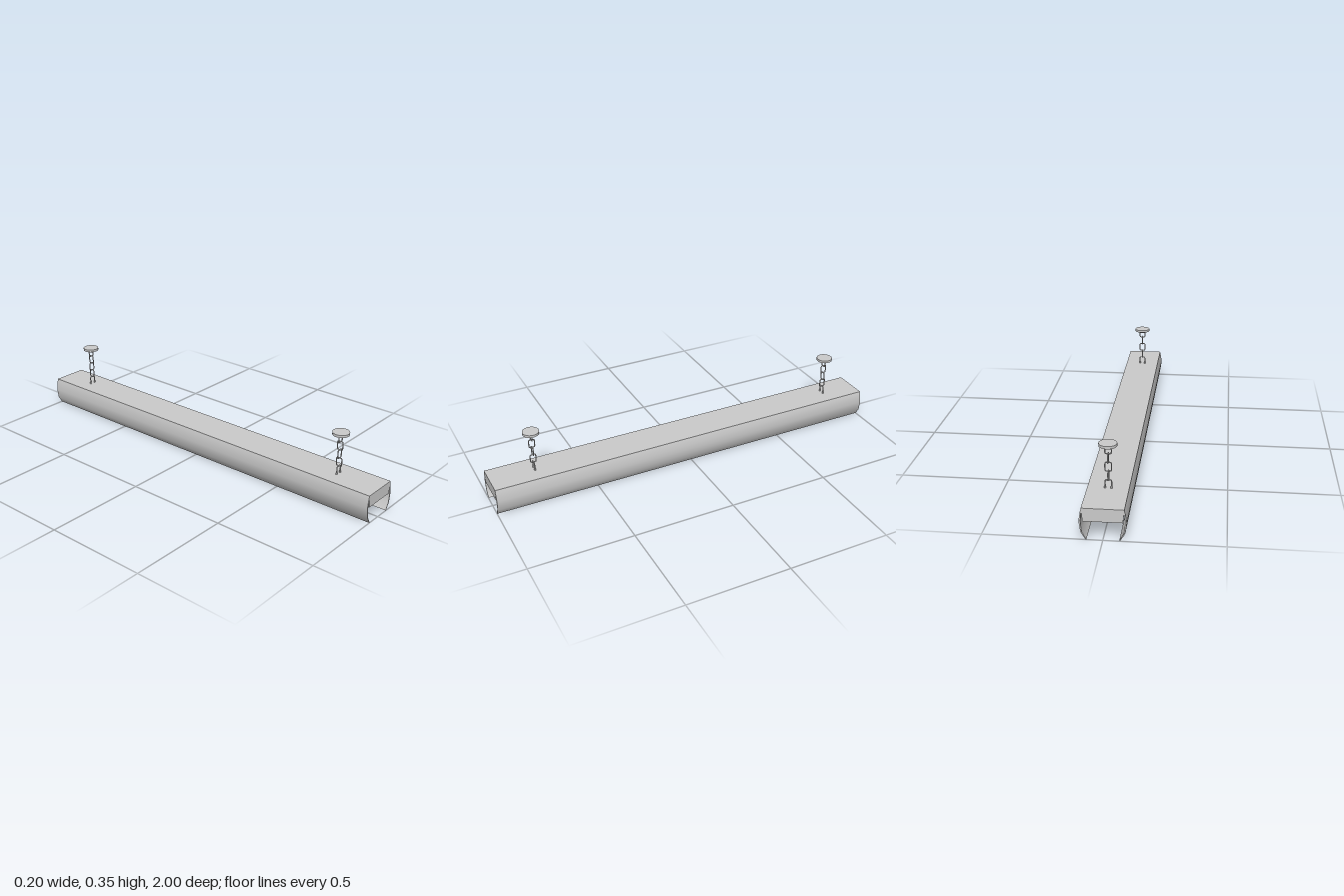
import * as THREE from 'three';
import { toCreasedNormals } from 'three/addons/utils/BufferGeometryUtils.js';

const material = new THREE.MeshStandardMaterial({ color: 0xcccccc, side: THREE.DoubleSide });

function add(parent, name, geometry, x = 0, y = 0, z = 0) {
  const mesh = new THREE.Mesh(geometry, material);
  mesh.name = name;
  mesh.position.set(x, y, z);
  parent.add(mesh);
  return mesh;
}

// Extrude an outline (x, y) along z, centred on z = 0
function extrude(points, length) {
  const shape = new THREE.Shape(points.map(([x, y]) => new THREE.Vector2(x, y)));
  const geometry = new THREE.ExtrudeGeometry(shape, { depth: length, bevelEnabled: false });
  geometry.translate(0, 0, -length / 2);
  return toCreasedNormals(geometry, 0.6);
}

// Wire bent along a rounded rectangle; open wires leave out the top or bottom side
const WIRE = 0.0027;
function wire(halfWidth, bottom, top, open) {
  const r = 0.006;
  const pts = [];
  const corner = (cx, cy, start) => {
    for (let i = 0; i <= 3; i++) {
      const a = start + (i / 3) * Math.PI / 2;
      pts.push(new THREE.Vector3(cx + r * Math.cos(a), cy + r * Math.sin(a), 0));
    }
  };
  const x = halfWidth - r;
  if (open === 'bottom') pts.push(new THREE.Vector3(halfWidth, bottom, 0));
  if (open !== 'top') {
    corner(x, top - r, 0);
    corner(-x, top - r, Math.PI / 2);
  } else pts.push(new THREE.Vector3(-halfWidth, top, 0));
  if (open !== 'bottom') {
    corner(-x, bottom + r, Math.PI);
    corner(x, bottom + r, Math.PI * 1.5);
  } else pts.push(new THREE.Vector3(-halfWidth, bottom, 0));
  if (open === 'top') pts.push(new THREE.Vector3(halfWidth, top, 0));
  const curve = new THREE.CatmullRomCurve3(pts, !open, 'centripetal');
  return new THREE.TubeGeometry(curve, 48, WIRE, 8, !open);
}

function createHanger() {
  const hanger = new THREE.Group();
  hanger.name = 'hanger';

  // Stepped ceiling canopy
  const profile = [[0, 0.329], [0.024, 0.329], [0.031, 0.335], [0.039, 0.336], [0.039, 0.348], [0, 0.348]];
  const canopy = new THREE.LatheGeometry(profile.map(([x, y]) => new THREE.Vector2(x, y)), 32);
  add(hanger, 'canopy', toCreasedNormals(canopy, 0.5));

  // Chain: end loops face the front, closed links alternate
  const x = -0.001;
  add(hanger, 'upperLoop', wire(0.0135, 0.299, 0.332, 'top'), x);
  add(hanger, 'upperLink', wire(0.0135, 0.26, 0.301), x).rotation.y = Math.PI / 2;
  add(hanger, 'middleLink', wire(0.0135, 0.22, 0.26), x);
  add(hanger, 'lowerLink', wire(0.0135, 0.18, 0.22), x).rotation.y = Math.PI / 2;
  add(hanger, 'lowerLoop', wire(0.0135, 0.141, 0.18, 'bottom'), x);
  for (const s of [-1, 1]) {
    add(hanger, 'loopFoot', new THREE.CylinderGeometry(0.0042, 0.0042, 0.01, 12), x + s * 0.0135, 0.146);
  }
  return hanger;
}

export function createModel() {
  const model = new THREE.Group();
  model.name = 'hangingLamp';

  // Housing: top panel and tapered end plates
  add(model, 'topPanel', new THREE.BoxGeometry(0.176, 0.004, 2), 0, 0.14, 0);
  const endOutline = [[-0.088, 0.142], [-0.082, 0.083], [0.082, 0.083], [0.088, 0.142]];
  for (const s of [-1, 1]) add(model, 'endPlate', extrude(endOutline, 0.006), 0, 0, s * 0.997);

  // Curved shades on both sides
  const shade = [
    [0.087, 0.142], [0.091, 0.128], [0.098, 0.084], [0.091, 0.034], [0.07, 0],
    [0.067, 0.001], [0.086, 0.035], [0.091, 0.083], [0.086, 0.134], [0.084, 0.138],
  ];
  for (const s of [-1, 1]) {
    add(model, 'sideShade', extrude(shade.map(([x, y]) => [x * s, y]), 2));
  }

  // Two light tubes between sockets inside the housing
  for (const s of [-1, 1]) {
    const tube = new THREE.CylinderGeometry(0.016, 0.016, 1.9, 20);
    tube.rotateX(Math.PI / 2);
    add(model, 'lightTube', tube, s * 0.038, 0.106, 0);
    for (const end of [-1, 1]) {
      add(model, 'socket', new THREE.BoxGeometry(0.034, 0.05, 0.03), s * 0.038, 0.113, end * 0.96);
    }
  }

  // Chains with ceiling canopies
  for (const z of [0.785, -0.812]) {
    const hanger = createHanger();
    hanger.position.z = z;
    model.add(hanger);
  }
  return model;
}
